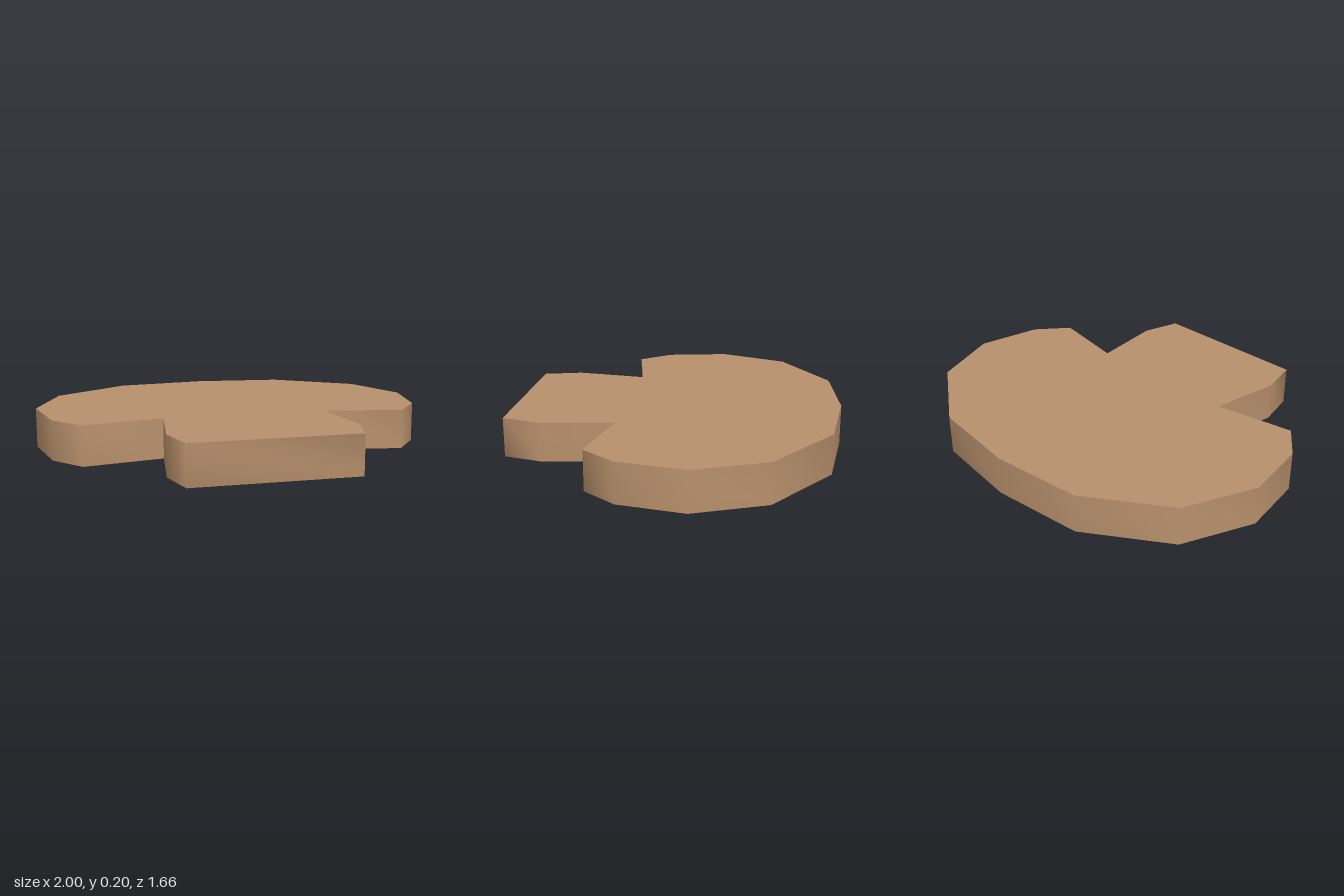
import * as THREE from 'three';
import { toCreasedNormals } from 'three/addons/utils/BufferGeometryUtils.js';

export function createModel() {
  const group = new THREE.Group();
  const wood = new THREE.MeshStandardMaterial({ color: 0xb8906c });
  wood.name = 'tan wood';

  // Mushroom outline as [x, z], clockwise from the back of the cap
  const outline = [
    [0, -0.83], [0.46, -0.78], [0.86, -0.51], [1, -0.16], [0.94, 0.17], [0.81, 0.335],
    [0.415, 0.265], [0.465, 0.63], [0.415, 0.825],
    [-0.41, 0.83], [-0.46, 0.63], [-0.41, 0.265],
    [-0.81, 0.34], [-0.94, 0.18], [-1, -0.15], [-0.86, -0.51], [-0.47, -0.775],
  ];
  const shape = new THREE.Shape(outline.map(([x, z]) => new THREE.Vector2(x, z)));

  // Flat slab: sharp rims and notches, smooth shading around the rim
  const slab = new THREE.ExtrudeGeometry(shape, { depth: 0.2, bevelEnabled: false });
  slab.rotateX(Math.PI / 2).translate(0, 0.2, 0);
  const mesh = new THREE.Mesh(toCreasedNormals(slab, 1.4), wood);
  mesh.name = 'mushroomSlab';
  group.add(mesh);
  return group;
}
